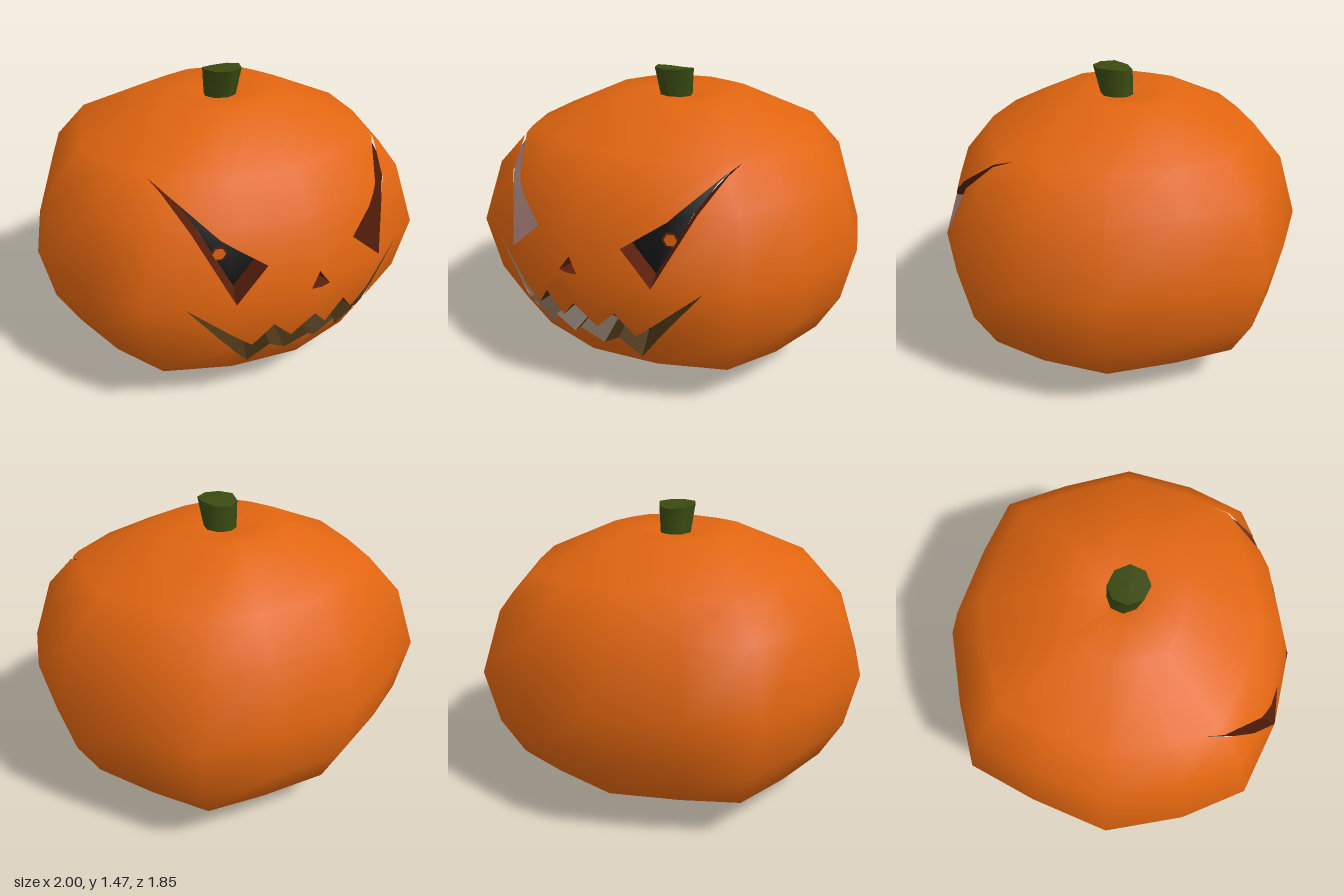
import * as THREE from 'three';

const mat = (name, color, side = THREE.FrontSide) => {
  const m = new THREE.MeshStandardMaterial({ color, side });
  m.name = name;
  return m;
};

// Cut-out outlines in the front (x, y) plane
const EYE = [[0.6, 1.18], [0.42, 0.975], [0.235, 0.84], [0.4, 0.7]];
const NOSE = [[0, 0.77], [-0.05, 0.7], [0.05, 0.7]];
const MOUTH_HALF = [[0, 0.53], [0.1, 0.42], [0.2, 0.52], [0.29, 0.41], [0.6, 0.69],
  [0.265, 0.25], [0.19, 0.37], [0.09, 0.3], [0, 0.385]];
const mirror = (pts) => pts.map(([x, y]) => [-x, y]).reverse();
const MOUTH = [...MOUTH_HALF, ...mirror(MOUTH_HALF).slice(1, -1)];

// Skin rings: [scale, height] from the underside hole to the top dimple
const RINGS = [[0.08, 0.03], [0.21, 0], [0.52, 0.05], [0.83, 0.22], [0.94, 0.42], [1, 0.7],
  [0.895, 1.01], [0.73, 1.19], [0.34, 1.36], [0.1, 1.33], [0.001, 1.32]];
// Half of the squarish waist outline, front to back
const WAIST = [[0, 0.925], [0.4, 0.85], [0.76, 0.69], [0.91, 0.38], [1, 0],
  [0.87, -0.38], [0.72, -0.71], [0.4, -0.82], [0, -0.92]];

const CENTRE = [0, 0.68, 0];
const DEPTH = 0.84; // inner wall as a fraction of the outer radius
const inward = (p, s = DEPTH) => CENTRE.map((c, i) => c + (p[i] - c) * s);
const cross2 = (a, b, p) => (b[0] - a[0]) * (p[1] - a[1]) - (b[1] - a[1]) * (p[0] - a[0]);

// Triangles of the skin; each corner is [x, y, z, nx, ny, nz]
function skinTriangles() {
  const loop = [...WAIST, ...mirror(WAIST).slice(1, -1)];
  const n = loop.length, pos = [], index = [];
  for (const [s, y] of RINGS) for (const [x, z] of loop) pos.push(x * s, y, z * s);
  for (let r = 0; r < RINGS.length - 1; r++) {
    for (let i = 0; i < n; i++) {
      const a = r * n + i, b = r * n + (i + 1) % n;
      index.push(a, b, b + n, a, b + n, a + n);
    }
  }
  const g = new THREE.BufferGeometry();
  g.setAttribute('position', new THREE.Float32BufferAttribute(pos, 3));
  g.setIndex(index);
  g.computeVertexNormals();
  const P = g.attributes.position, N = g.attributes.normal;
  const corners = index.map((i) => [P.getX(i), P.getY(i), P.getZ(i), N.getX(i), N.getY(i), N.getZ(i)]);
  return Array.from({ length: index.length / 3 }, (_, t) => corners.slice(t * 3, t * 3 + 3));
}

// Keep the part of a convex polygon on one side of the line a-b
function clip(poly, a, b, side) {
  const out = [];
  poly.forEach((p, i) => {
    const q = poly[(i + 1) % poly.length];
    const dp = cross2(a, b, p) * side, dq = cross2(a, b, q) * side;
    if (dp >= 0) out.push(p);
    if ((dp > 0 && dq < 0) || (dp < 0 && dq > 0)) {
      const t = dp / (dp - dq);
      out.push(p.map((v, k) => v + (q[k] - v) * t));
    }
  });
  return out;
}

// Split a polygon into the pieces outside a triangle and the piece inside it
function carve(poly, tri) {
  const outside = [];
  let rest = poly;
  for (let i = 0; i < 3; i++) {
    const a = tri[i], b = tri[(i + 1) % 3];
    const out = clip(rest, a, b, -1);
    rest = clip(rest, a, b, 1);
    if (out.length > 2) outside.push(out);
    if (rest.length < 3) return { outside: [poly], inside: null };
  }
  return { outside, inside: rest };
}

function polygonsToGeometry(polys) {
  const pos = [], nor = [];
  for (const poly of polys) {
    for (let i = 1; i < poly.length - 1; i++) {
      for (const p of [poly[0], poly[i], poly[i + 1]]) {
        pos.push(p[0], p[1], p[2]);
        nor.push(...new THREE.Vector3(p[3], p[4], p[5]).normalize().toArray());
      }
    }
  }
  const g = new THREE.BufferGeometry();
  g.setAttribute('position', new THREE.Float32BufferAttribute(pos, 3));
  g.setAttribute('normal', new THREE.Float32BufferAttribute(nor, 3));
  return g;
}

export function createModel() {
  const group = new THREE.Group();
  group.name = 'carvedPumpkin';
  const orange = mat('pumpkinOrange', 0xe06510);
  const black = mat('hollowBlack', 0x111111);
  const rust = mat('eyeCutBrown', 0x5a200c, THREE.DoubleSide);
  const flesh = mat('mouthCutBrown', 0x4a3416, THREE.DoubleSide);
  const green = mat('stemGreen', 0x3a4a12);
  const add = (name, geometry, material) => {
    const mesh = new THREE.Mesh(geometry, material);
    mesh.name = name;
    group.add(mesh);
    return mesh;
  };

  const tris = skinTriangles();
  const isFront = (t) => cross2(t[0], t[1], t[2]) > 1e-6 && t.some((p) => p[2] > 0.1);
  const front = tris.filter(isFront);

  // Point of the front skin at (x, y)
  const onSkin = (x, y) => {
    let best = null, bestMin = -Infinity;
    for (const [a, b, c] of front) {
      const area = cross2(a, b, c), p = [x, y];
      const u = cross2(b, c, p) / area, v = cross2(c, a, p) / area, w = 1 - u - v;
      const m = Math.min(u, v, w);
      if (m > bestMin) { bestMin = m; best = [x, y, u * a[2] + v * b[2] + w * c[2]]; }
    }
    return best;
  };

  // Carve the face out of the skin
  const cuts = [['leftEye', EYE, rust], ['rightEye', mirror(EYE), rust],
    ['nose', NOSE, rust], ['mouth', MOUTH, flesh]];
  let skin = front;
  for (const [name, outline, wallMaterial] of cuts) {
    const pts = outline.map(([x, y]) => new THREE.Vector2(x, y));
    if (THREE.ShapeUtils.isClockWise(pts)) pts.reverse();
    const removed = [];
    for (const face of THREE.ShapeUtils.triangulateShape(pts, [])) {
      const tri = face.map((i) => [pts[i].x, pts[i].y]);
      if (cross2(...tri) < 0) tri.reverse();
      skin = skin.flatMap((poly) => {
        const { outside, inside } = carve(poly, tri);
        if (inside) removed.push(inside);
        return outside;
      });
    }
    // Dark back of the cut-out
    add(name + 'Hollow', polygonsToGeometry(
      removed.map((poly) => poly.map((p) => [...inward(p), ...p.slice(3)]))), black);
    // Cut walls running from the skin towards the middle
    const wall = [], steps = 6;
    pts.forEach((a, i) => {
      const b = pts[(i + 1) % pts.length];
      for (let s = 0; s < steps; s++) {
        const p = a.clone().lerp(b, s / steps), q = a.clone().lerp(b, (s + 1) / steps);
        const P = onSkin(p.x, p.y), Q = onSkin(q.x, q.y), p2 = inward(P), q2 = inward(Q);
        wall.push(...P, ...Q, ...q2, ...P, ...q2, ...p2);
      }
    });
    const g = new THREE.BufferGeometry();
    g.setAttribute('position', new THREE.Float32BufferAttribute(wall, 3));
    g.computeVertexNormals();
    add(name + 'CutWall', g, wallMaterial);
  }
  add('skin', polygonsToGeometry([...tris.filter((t) => !isFront(t)), ...skin]), orange);

  // Pupils: orange discs with a brown rim, set against the dark hollows
  for (const side of [1, -1]) {
    const outer = onSkin(side * 0.44, 0.876);
    [['pupilRim', 0.042, 0.012, rust], ['pupil', 0.031, 0.02, orange]].forEach(([name, r, lift, m]) => {
      const disc = add((side > 0 ? 'left' : 'right') + name, new THREE.CircleGeometry(r, 6), m);
      disc.position.set(...inward(outer, DEPTH + lift));
      disc.lookAt(disc.position.x * 1.6, disc.position.y, disc.position.z * 2);
    });
  }

  // Stem: flared, leaning forwards
  const stem = new THREE.CylinderGeometry(0.1, 0.08, 0.17, 8, 2);
  const sp = stem.attributes.position;
  for (let i = 0; i < sp.count; i++) {
    const t = (sp.getY(i) + 0.085) / 0.17;
    sp.setZ(i, sp.getZ(i) + 0.025 * t);
    if (t > 0.9) sp.setY(i, sp.getY(i) + (sp.getZ(i) > 0 ? 0 : sp.getZ(i) * 0.28));
  }
  stem.computeVertexNormals();
  add('stem', stem, green).position.set(0, 1.388, 0.022);

  // Dark blossom end underneath
  const blossom = add('blossomEnd', new THREE.CircleGeometry(0.085, 16), rust);
  blossom.rotation.x = Math.PI / 2;
  blossom.position.y = 0.035;
  return group;
}
